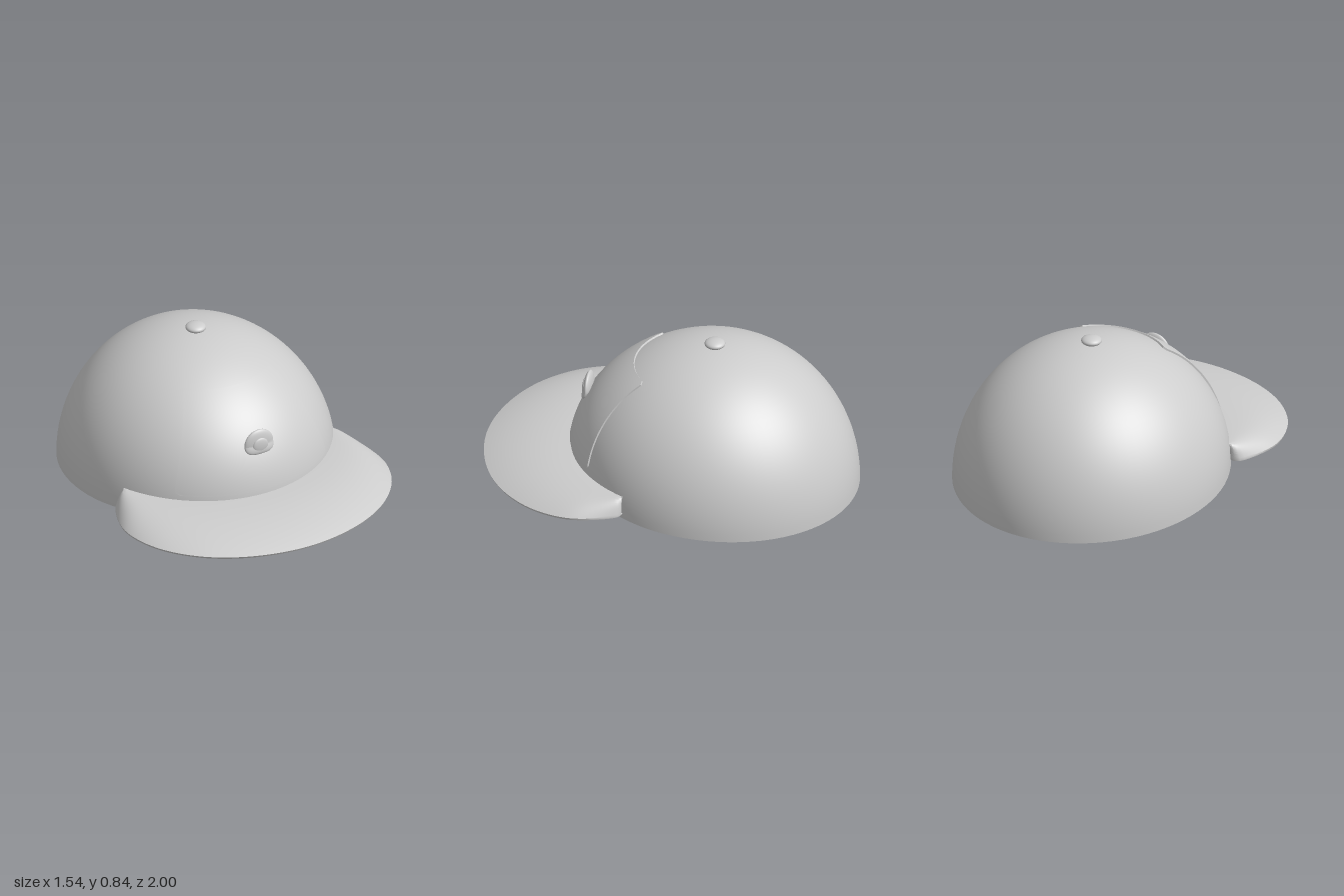
import * as THREE from 'three';
import { mergeVertices, toCreasedNormals } from 'three/addons/utils/BufferGeometryUtils.js';
import { ParametricGeometry } from 'three/addons/geometries/ParametricGeometry.js';

// Crown ellipsoid: radii, centre and height
const RX = 0.725, RZ = 0.768, ZC = -0.232, TOP = 0.802;
// Rim slopes up to the front, faster under the brim
const rimY = (z) => 0.05 + 0.06 * (z - ZC) + 0.06 * Math.max(0, z + 0.05) ** 1.5;

// Surface from fn(column, row), facing (column direction) x (row direction)
function surface(cols, rows, crease, fn) {
  const geo = new ParametricGeometry(
    (u, v, p) => p.set(...fn(Math.round(u * cols), Math.round(v * rows))), cols, rows);
  geo.deleteAttribute('uv');
  geo.deleteAttribute('normal');
  return toCreasedNormals(mergeVertices(geo, 1e-5), crease);
}

// Shell: down the outside, across the rim, up the inside
function crownGeometry() {
  const n = 28, cols = 80;
  return surface(cols, 2 * n + 1, 0.7, (i, j) => {
    const outer = j <= n, t = outer ? 0 : 0.018;
    const th = (outer ? j : 2 * n + 1 - j) / n * Math.PI / 2;
    const a = (i % cols) / cols * Math.PI * 2;
    const c = Math.cos(th), s = Math.sin(th);
    const z = ZC + (RZ - t) * s * Math.sin(a);
    return [(RX - t) * s * Math.cos(a), (TOP - t) * c + rimY(z) * (1 - c), z];
  });
}

// Point at x, y on the front of the crown, lifted along its normal
function onCrown(x, y, lift) {
  let z = 0.3;
  for (let k = 0; k < 8; k++) {
    const r = rimY(z), c = (y - r) / (TOP - r);
    z = ZC + RZ * Math.sqrt(Math.max(0, 1 - c * c - (x / RX) ** 2));
  }
  const n = new THREE.Vector3(x / RX ** 2, (y - 0.08) / 0.73 ** 2, (z - ZC) / RZ ** 2).normalize();
  return [x + n.x * lift, y + n.y * lift, z + n.z * lift];
}

// Raised panel with rounded corners and a skirt that sinks into the crown
function panelGeometry() {
  const cols = 42, rows = 46, y0 = 0.227, y1 = 0.682;
  return surface(cols, rows, 0.7, (i, j) => {
    const skirt = i === 0 || j === 0 || i === cols || j === rows;
    const u = THREE.MathUtils.clamp((i - 1) / (cols - 2), 0, 1);
    const t = THREE.MathUtils.clamp((j - 1) / (rows - 2), 0, 1);
    const y = y0 + (y1 - y0) * t;
    const r = t < 0.5 ? 0.026 : 0.016;
    const d = Math.max(0, r - Math.min(y - y0, y1 - y));
    const w = 0.453 - 0.09 * t - 0.105 * t * t - (r - Math.sqrt(Math.max(0, r * r - d * d)));
    return onCrown((2 * u - 1) * w, y, skirt ? -0.006 : 0.009);
  });
}

// Brim: flat below, curving down from the crown to a thin outer edge
function brimGeometry() {
  const half = [[0.636, 0.13], [0.675, 0.127], [0.70, 0.155], [0.742, 0.25], [0.77, 0.38],
    [0.752, 0.512], [0.688, 0.655], [0.56, 0.8], [0.4, 0.903], [0.2, 0.972]];
  const outline = [...half, [0, 0.995], ...half.map(([x, z]) => [-x, z]).reverse()];
  const curve = new THREE.CatmullRomCurve3(outline.map(([x, z]) => new THREE.Vector3(x, 0, z)));
  const cols = 96, n = 14, a0 = 0.486;
  const edge = curve.getSpacedPoints(cols);
  return surface(cols, n + 2, 0.7, (i, j) => {
    const a = a0 + (Math.PI - 2 * a0) * i / cols;
    const ix = 0.985 * RX * Math.cos(a), iz = ZC + 0.985 * RZ * Math.sin(a);
    const top = j <= n;
    const t = top ? j / n : n + 2 - j;
    const f = top ? Math.sin(t * Math.PI / 2) : t * 0.988; // finer steps near the edge
    const bulge = 2.2 + 1.6 * Math.cos(a) ** 2; // fuller towards the sides
    const y = top ? 0.117 + 0.083 * (1 - f ** bulge) : 0.106;
    return [ix + (edge[i].x - ix) * f, y, iz + (edge[i].z - iz) * f];
  });
}

// Lens-shaped badge: round above, flatter with squarer corners below
function badgeGeometry() {
  const geo = new THREE.SphereGeometry(1, 40, 24);
  geo.rotateX(Math.PI / 2);
  const p = geo.attributes.position;
  for (let i = 0; i < p.count; i++) {
    let x = p.getX(i), y = p.getY(i);
    if (y < 0) {
      const r = Math.hypot(x, y), k = r / Math.pow(Math.abs(x) ** 3 + Math.abs(y) ** 3, 1 / 3);
      x *= k;
      y *= k;
    }
    // the lower part leans forward, clear of the panel
    p.setXYZ(i, x * 0.086, y * (y > 0 ? 0.085 : 0.052), p.getZ(i) * 0.024 + 0.02 * Math.max(0, -y));
  }
  geo.computeVertexNormals();
  return geo;
}

export function createModel() {
  const group = new THREE.Group();
  const cloth = new THREE.MeshStandardMaterial({ color: 0xcccccc });
  cloth.name = 'light grey cloth';

  const add = (name, geo, x = 0, y = 0, z = 0) => {
    const mesh = new THREE.Mesh(geo, cloth);
    mesh.name = name;
    mesh.position.set(x, y, z);
    group.add(mesh);
    return mesh;
  };

  add('crown', crownGeometry());
  add('frontPanel', panelGeometry());
  add('brim', brimGeometry());
  add('badge', badgeGeometry(), 0, 0.463, 0.45);
  add('badgeBoss', new THREE.SphereGeometry(1, 28, 16), 0, 0.46, 0.471).scale.set(0.045, 0.045, 0.012);
  add('topButton', new THREE.SphereGeometry(1, 32, 16), 0, 0.82, ZC).scale.set(0.055, 0.024, 0.055);
  return group;
}
